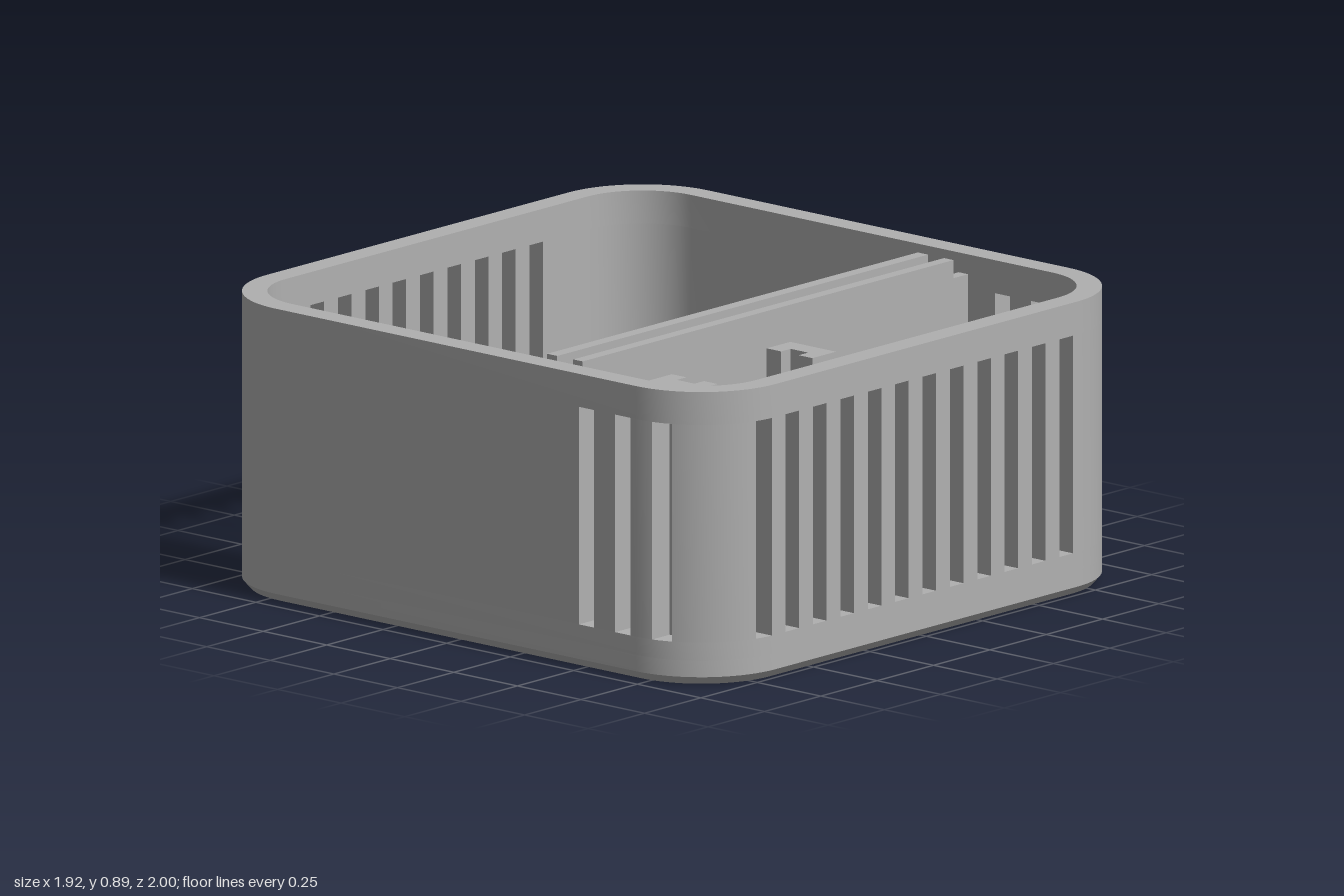
import * as THREE from 'three';
import { toCreasedNormals } from 'three/addons/utils/BufferGeometryUtils.js';

const plastic = new THREE.MeshStandardMaterial({ color: 0xb0b0b0 });
plastic.name = 'grey plastic';

// Corner centres and radius of the rounded box plan
const CX = 0.67, CZ = 0.71, R = 0.29, WALL = 0.075;
const FLOOR = 0.075, TOP = 0.89, SLOT_LOW = 0.13, SLOT_HIGH = 0.79;

function add(parent, name, geometry) {
  const mesh = new THREE.Mesh(geometry, plastic);
  mesh.name = name;
  parent.add(mesh);
  return mesh;
}

const toShape = (points) => new THREE.Shape(points.map(([x, y]) => new THREE.Vector2(x, y)));

// Extrudes a plan (x, z) upwards from y0 to y1
function prism(shape, y0, y1, steps = 1) {
  const g = new THREE.ExtrudeGeometry(shape, { depth: y1 - y0, steps, bevelEnabled: false, curveSegments: 20 });
  return g.rotateX(Math.PI / 2).translate(0, y1, 0);
}

function block(parent, name, x0, x1, y0, y1, z0, z1) {
  const g = new THREE.BoxGeometry(x1 - x0, y1 - y0, z1 - z0);
  return add(parent, name, g.translate((x0 + x1) / 2, (y0 + y1) / 2, (z0 + z1) / 2));
}

// Closed plan outline of the box, inset from the outside
function outline(inset) {
  const points = [], n = 18, r = R - inset;
  for (let q = 0; q < 4; q++) {
    const sx = q === 0 || q === 3 ? 1 : -1, sz = q < 2 ? 1 : -1;
    for (let i = 0; i <= n; i++) {
      const t = (q + i / n) * Math.PI / 2;
      points.push([sx * CX + r * Math.cos(t), sz * CZ + r * Math.sin(t)]);
    }
  }
  return points;
}

// Point on one wall at coordinate v (x on front/back, z on the sides)
function wallPoint(wall, v, inset) {
  const along = wall === 'front' || wall === 'back';
  const over = Math.max(0, Math.abs(v) - (along ? CX : CZ));
  const d = (along ? CZ : CX) + Math.sqrt((R - inset) ** 2 - over * over);
  const s = wall === 'front' || wall === 'right' ? 1 : -1;
  return along ? [v, s * d] : [s * d, v];
}

const angle = ([x, z]) => Math.atan2(z, x);

// One band of the wall, left open at each cut [wall, v0, v1]
function wallBand(parent, name, cuts, y0, y1) {
  const sorted = cuts.map(([wall, a, b]) => {
    const flip = angle(wallPoint(wall, a, 0)) > angle(wallPoint(wall, b, 0));
    return { wall, lo: flip ? b : a, hi: flip ? a : b };
  }).sort((p, q) => angle(wallPoint(p.wall, p.lo, 0)) - angle(wallPoint(q.wall, q.lo, 0)));
  sorted.forEach((from, i) => {
    const to = sorted[(i + 1) % sorted.length];
    const path = (inset) => {
      const p0 = wallPoint(from.wall, from.hi, inset), p1 = wallPoint(to.wall, to.lo, inset);
      const a = angle(p0);
      const turn = (p) => (angle(p) < a ? angle(p) + 2 * Math.PI : angle(p));
      const end = turn(p1);
      const between = outline(inset).filter((p) => turn(p) > a + 1e-4 && turn(p) < end - 1e-4);
      return [p0, ...between.sort((p, q) => turn(p) - turn(q)), p1];
    };
    const shape = toShape([...path(0), ...path(WALL).reverse()]);
    add(parent, name, toCreasedNormals(prism(shape, y0, y1), 0.5));
  });
}

function stadium(path, x, z0, z1, r) {
  path.absarc(x, z1 - r, r, 0, Math.PI, false);
  path.absarc(x, z0 + r, r, Math.PI, 2 * Math.PI, false);
  path.closePath();
  return path;
}

function roundedRect(path, x0, y0, x1, y1, r) {
  path.absarc(x1 - r, y1 - r, r, 0, Math.PI / 2, false);
  path.absarc(x0 + r, y1 - r, r, Math.PI / 2, Math.PI, false);
  path.absarc(x0 + r, y0 + r, r, Math.PI, Math.PI * 1.5, false);
  path.absarc(x1 - r, y0 + r, r, Math.PI * 1.5, Math.PI * 2, false);
  path.closePath();
  return path;
}

// Floor with chamfered rim, countersunk screw holes and keyholes
function makeFloor(parent) {
  const screws = [[-0.735, -0.775], [0.728, 0.765]];
  const shape = toShape(outline(0));
  for (const [x, z] of screws) shape.holes.push(new THREE.Path().absarc(x, z, 0.06, 0, Math.PI * 2, true));
  for (const x of [-0.465, 0.465]) {
    const a = Math.asin(0.045 / 0.15), key = new THREE.Path();
    key.absarc(x, -0.27, 0.15, -Math.PI / 2 + a, Math.PI * 1.5 - a, false);
    key.absarc(x, -0.59, 0.045, Math.PI, Math.PI * 2, false);
    key.closePath();
    shape.holes.push(key);
  }
  const g = prism(shape, 0, FLOOR, 3), pos = g.attributes.position;
  for (let i = 0; i < pos.count; i++) {
    let x = pos.getX(i), z = pos.getZ(i);
    const y = pos.getY(i);
    const cx = THREE.MathUtils.clamp(x, -CX, CX), cz = THREE.MathUtils.clamp(z, -CZ, CZ);
    const d = Math.hypot(x - cx, z - cz);
    if (y < 0.01 && d > R - 0.005) {
      x = cx + (x - cx) * (R - 0.022) / d;
      z = cz + (z - cz) * (R - 0.022) / d;
    }
    for (const [sx, sz] of screws) {
      if (Math.hypot(x - sx, z - sz) > 0.065) continue;
      const k = 1 + 0.6 * Math.max(0, 1 - y / 0.05);
      x = sx + (x - sx) * k;
      z = sz + (z - sz) * k;
    }
    pos.setXYZ(i, x, y, z);
  }
  g.deleteAttribute('normal');
  add(parent, 'floor', toCreasedNormals(g, 0.5));
}

export function createModel() {
  const model = new THREE.Group();
  model.name = 'ventilatedCase';
  makeFloor(model);

  // Walls with ventilation slots; the port panel fills its own gap
  const port = ['right', -0.62, -0.05];
  const slots = [port];
  for (let i = 0; i < 12; i++) slots.push(['front', -0.745 + i * 0.1214, -0.685 + i * 0.1214]);
  for (let i = 0; i < 9; i++) slots.push(['back', -0.56 + i * 0.1214, -0.5 + i * 0.1214]);
  for (const wall of ['left', 'right'])
    for (const z of [0.485, 0.627, 0.768]) slots.push([wall, z, z + 0.06]);
  wallBand(model, 'lowerWall', [port], FLOOR, SLOT_LOW);
  wallBand(model, 'slottedWall', slots, SLOT_LOW, SLOT_HIGH);
  wallBand(model, 'upperWall', [port], SLOT_HIGH, TOP);

  const panel = toShape([[0.05, FLOOR], [0.62, FLOOR], [0.62, TOP], [0.05, TOP]]);
  panel.holes.push(roundedRect(new THREE.Path(), 0.12, 0.077, 0.55, 0.34, 0.055));
  const panelGeo = new THREE.ExtrudeGeometry(panel, { depth: WALL, bevelEnabled: false, curveSegments: 8 });
  add(model, 'portPanel', toCreasedNormals(panelGeo.rotateY(Math.PI / 2).translate(CX + R - WALL, 0, 0), 0.5));

  // Two dividers with stepped ends and a low cable opening
  const divider = toShape([
    [-0.888, FLOOR], [-0.53, FLOOR], [-0.53, 0.2], [-0.37, 0.2], [-0.37, FLOOR], [0.888, FLOOR],
    [0.888, 0.83], [0.82, 0.83], [0.82, 0.885], [-0.825, 0.885], [-0.825, 0.83], [-0.888, 0.83],
  ]);
  for (const [z, depth] of [[0.24, 0.04], [0.343, 0.037]])
    add(model, 'divider', new THREE.ExtrudeGeometry(divider, { depth, bevelEnabled: false }).translate(0, 0, z));

  // Hollow covers over the keyholes
  for (const x of [-0.465, 0.465]) {
    const cover = stadium(new THREE.Shape(), x, -0.68, -0.08, 0.193);
    cover.holes.push(stadium(new THREE.Path(), x, -0.64, -0.12, 0.153));
    add(model, 'keyholeCover', toCreasedNormals(prism(cover, FLOOR, 0.14), 0.5));
    const lid = stadium(new THREE.Shape(), x, -0.68, -0.08, 0.193);
    add(model, 'keyholeLid', toCreasedNormals(prism(lid, 0.14, 0.18), 0.5));
  }

  // Circuit board rests and clips, mirrored front to back
  const MID = -0.347;
  for (const s of [-1, 1]) {
    const pair = (name, x0, x1, y1, d0, d1) => {
      const za = MID + s * d0, zb = MID + s * d1;
      block(model, name, x0, x1, FLOOR, y1, Math.min(za, zb), Math.max(za, zb));
    };
    pair('boardRest', -0.365, -0.265, 0.2, 0.36, 0.465);
    pair('boardRest', 0.757, 0.865, 0.2, 0.36, 0.465);
    pair('cornerStop', -0.365, -0.195, 0.37, 0.465, 0.508);
    pair('cornerStop', 0.69, 0.865, 0.37, 0.465, 0.508);
    pair('sideStop', -0.412, -0.365, 0.37, 0.3, 0.475);
    for (const x of [0, 0.495]) {
      pair('boardClip', x - 0.07, x + 0.07, 0.35, 0.465, 0.508);
      const z = MID + s * 0.467, tip = MID + s * 0.447;
      const nub = toShape([[x - 0.035, z], [x - 0.015, tip], [x + 0.015, tip], [x + 0.035, z]]);
      add(model, 'clipNub', prism(nub, 0.28, 0.35));
    }
  }

  // Tall C-shaped sensor holders facing each other
  for (const [x, s] of [[-0.737, 1], [-0.107, -1]]) {
    const c = toShape([
      [0, 0.56], [0.105, 0.56], [0.105, 0.617], [0.063, 0.617],
      [0.063, 0.686], [0.105, 0.686], [0.105, 0.74], [0, 0.74],
    ].map(([u, z]) => [x + s * u, z]));
    add(model, 'sensorHolder', prism(c, FLOOR, 0.84));
  }
  return model;
}
